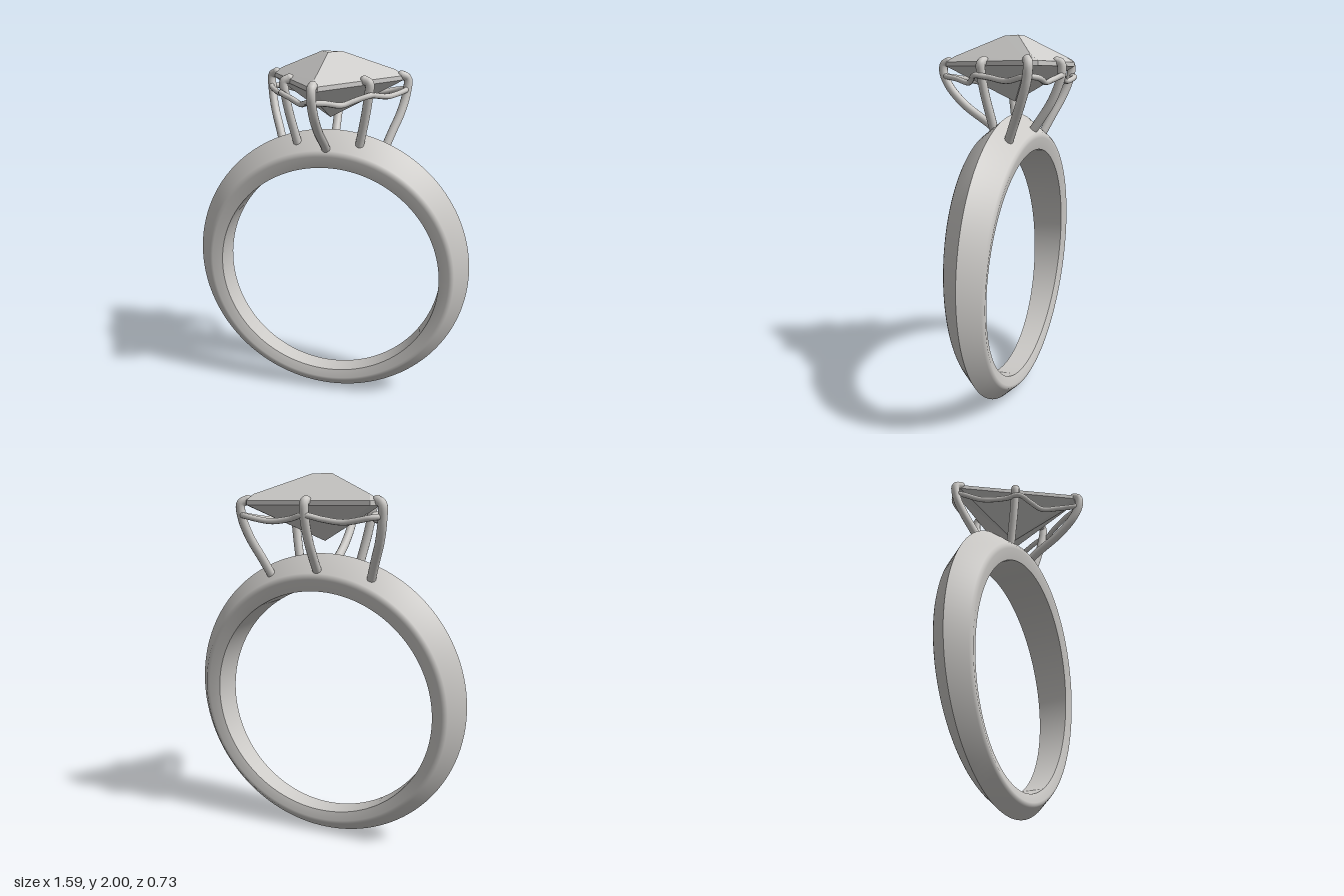
import * as THREE from 'three';
import { toCreasedNormals } from 'three/addons/utils/BufferGeometryUtils.js';
import { ConvexGeometry } from 'three/addons/geometries/ConvexGeometry.js';

const metal = new THREE.MeshStandardMaterial({ color: 0xcccac7 });
metal.name = 'pale metal';
const stone = new THREE.MeshStandardMaterial({ color: 0xcccbc9 });
stone.name = 'pale stone';

const BAND_Z = -0.085;
const v = (x, y, z) => new THREE.Vector3(x, y, z);
const flip = (p) => v(-p.x, p.y, p.z);

function add(parent, name, geometry, material) {
  const mesh = new THREE.Mesh(geometry, material);
  mesh.name = name;
  parent.add(mesh);
  return mesh;
}

// Knife-edged band: wider at the top than at the bottom
function bandGeometry() {
  // radius, centre height, inset from the half width (null = on the ridge)
  const half = [
    [0.718, 0.777, 0.011], [0.706, 0.775, 0.002], [0.69, 0.773, 0.002], [0.635, 0.765, 0.018],
  ];
  const section = [
    [0.795, 0.795, 0, 0],
    ...half.map((p) => [...p, 1]),
    ...half.map((p) => [...p, -1]).reverse(),
  ];
  const steps = 128, n = section.length, pos = [], index = [];
  for (let i = 0; i < steps; i++) {
    const a = (i / steps) * Math.PI * 2;
    const w = 0.106 + 0.03 * Math.sin(a);
    for (const [r, cy, inset, side] of section) {
      pos.push(r * Math.cos(a), cy + r * Math.sin(a), BAND_Z + side * (w - inset));
    }
    for (let j = 0; j < n; j++) {
      const i2 = (i + 1) % steps, j2 = (j + 1) % n;
      const p = i * n + j, q = i2 * n + j, s = i2 * n + j2, t = i * n + j2;
      index.push(p, q, t, q, s, t);
    }
  }
  const g = new THREE.BufferGeometry();
  g.setAttribute('position', new THREE.Float32BufferAttribute(pos, 3));
  g.setIndex(index);
  return toCreasedNormals(g, 0.75);
}

// Triangular stone with clipped corners, small table and pointed underside
function gemGeometry() {
  const right = [
    v(0.055, 2, -0.12), v(0.32, 1.896, -0.275), // table corner, crown ridge end
  ];
  for (const y of [1.842, 1.865]) { // girdle
    right.push(v(0.335, y, -0.32), v(0.37, y, -0.27), v(0.025, y, 0.31));
  }
  const middle = [v(0, 2, -0.025), v(0, 1.895, 0.27), v(0, 1.655, BAND_Z)];
  return new ConvexGeometry([...right, ...right.map(flip), ...middle]);
}

// Claw wire with rounded tip hooked over the stone
function addProng(parent, name, points) {
  const g = new THREE.Group();
  g.name = name;
  const curve = new THREE.CatmullRomCurve3(points, false, 'centripetal');
  add(g, 'prongWire', new THREE.TubeGeometry(curve, 40, 0.024, 12), metal);
  const tip = add(g, 'prongTip', new THREE.SphereGeometry(0.024, 14, 10), metal);
  tip.position.copy(points[points.length - 1]);
  parent.add(g);
}

export function createModel() {
  const ring = new THREE.Group();
  ring.name = 'ring';
  add(ring, 'band', bandGeometry(), metal);
  add(ring, 'gem', gemGeometry(), stone);

  const setting = new THREE.Group();
  setting.name = 'setting';
  ring.add(setting);

  // Prongs on the centre line
  addProng(setting, 'frontProng', [
    v(0, 1.48, 0.0), v(0, 1.53, 0.06), v(0, 1.63, 0.205), v(0, 1.73, 0.3),
    v(0, 1.81, 0.337), v(0, 1.855, 0.332), v(0, 1.868, 0.305),
  ]);
  addProng(setting, 'backProng', [
    v(0, 1.48, -0.17), v(0, 1.55, -0.22), v(0, 1.65, -0.285), v(0, 1.74, -0.325),
    v(0, 1.81, -0.343), v(0, 1.856, -0.339), v(0, 1.866, -0.315),
  ]);

  // Mirrored prongs at the sides and back corners
  const sideProng = [
    v(0.165, 1.49, -0.035), v(0.185, 1.58, -0.018), v(0.208, 1.69, 0.003),
    v(0.225, 1.8, 0.018), v(0.228, 1.852, 0.02), v(0.2, 1.867, 0.013),
  ];
  const cornerProng = [
    v(0.28, 1.45, -0.145), v(0.32, 1.56, -0.195), v(0.362, 1.67, -0.245),
    v(0.385, 1.77, -0.28), v(0.387, 1.848, -0.288), v(0.355, 1.868, -0.272),
  ];
  addProng(setting, 'leftSideProng', sideProng);
  addProng(setting, 'rightSideProng', sideProng.map(flip));
  addProng(setting, 'leftCornerProng', cornerProng);
  addProng(setting, 'rightCornerProng', cornerProng.map(flip));

  // Wavy wire joining all the prongs under the girdle
  const leftWire = [
    v(0.05, 1.775, 0.235), v(0.11, 1.755, 0.14), v(0.17, 1.775, 0.095),
    v(0.235, 1.795, 0.05), v(0.25, 1.785, -0.03), v(0.31, 1.768, -0.15),
    v(0.385, 1.79, -0.275), v(0.34, 1.785, -0.32), v(0.2, 1.762, -0.318),
    v(0.09, 1.775, -0.325),
  ];
  const loop = [
    v(0, 1.79, 0.33), ...leftWire, v(0, 1.795, -0.348), ...leftWire.map(flip).reverse(),
  ];
  const wire = new THREE.CatmullRomCurve3(loop, true, 'centripetal');
  add(setting, 'galleryWire', new THREE.TubeGeometry(wire, 200, 0.015, 10, true), metal);

  return ring;
}
